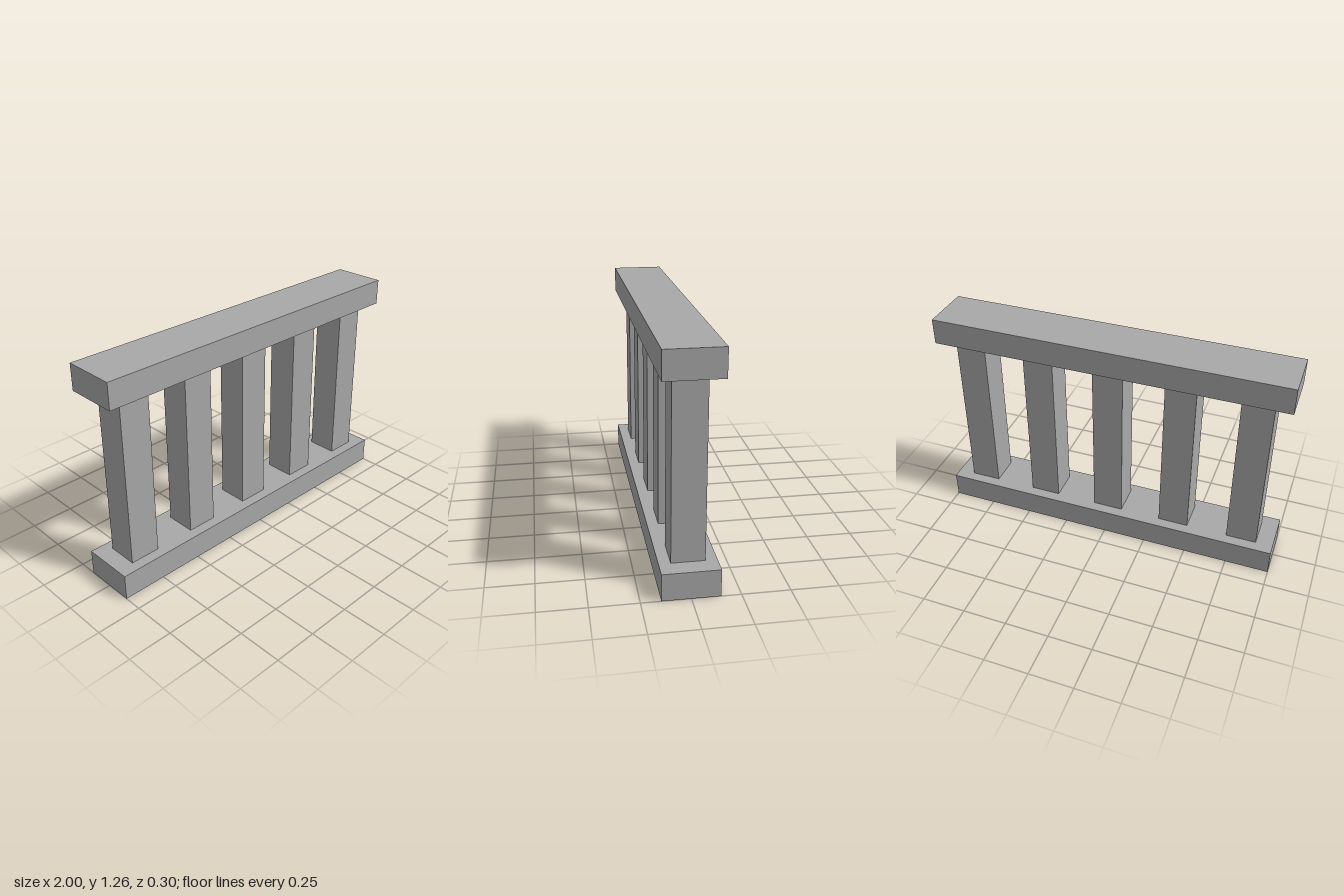
import * as THREE from 'three';

export function createModel() {
  const model = new THREE.Group();
  model.name = 'balustrade';

  const stone = new THREE.MeshStandardMaterial({ color: 0xa8a8a8 });
  stone.name = 'grey stone';

  const height = 1.26, railHeight = 0.147, railDepth = 0.296;
  const postWidth = 0.174, postSpacing = 0.408, postCount = 5;

  function addBox(name, w, h, d, x, y) {
    const mesh = new THREE.Mesh(new THREE.BoxGeometry(w, h, d), stone);
    mesh.name = name;
    mesh.position.set(x, y, 0);
    model.add(mesh);
  }

  // Full-length base and top rail
  addBox('baseRail', 2, railHeight, railDepth, 0, railHeight / 2);
  addBox('topRail', 2, railHeight, railDepth, 0, height - railHeight / 2);

  // Evenly spaced square posts between the rails
  const postHeight = height - 2 * railHeight;
  for (let i = 0; i < postCount; i++) {
    const x = (i - (postCount - 1) / 2) * postSpacing;
    addBox(`post${i + 1}`, postWidth, postHeight, postWidth, x, height / 2);
  }

  return model;
}
